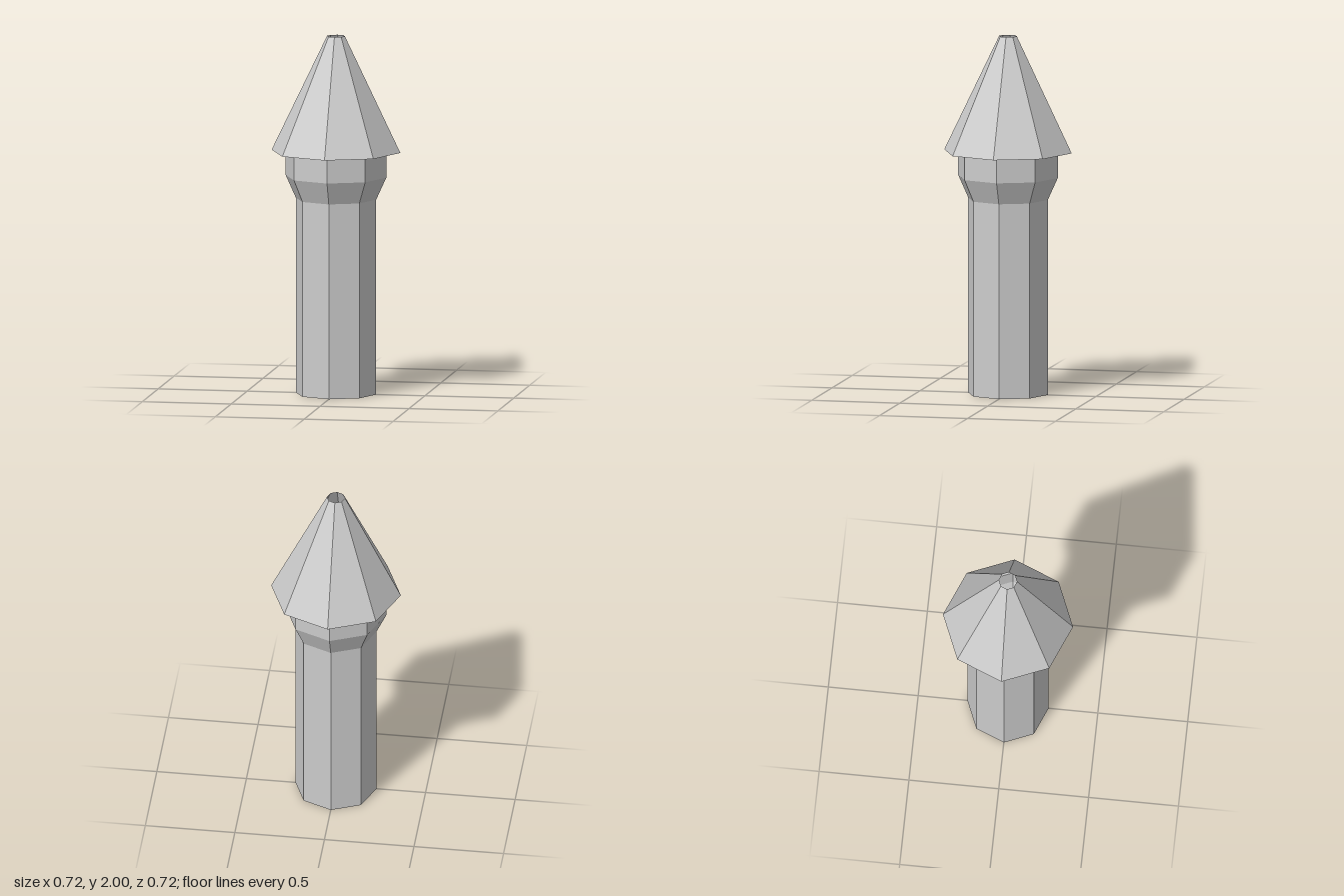
import * as THREE from 'three';

const SIDES = 8;

// Open eight-sided shell swept from [radius, height] pairs, bottom to top
function shell(name, profile, material) {
  const points = profile.map(([r, y]) => new THREE.Vector2(r, y));
  const mesh = new THREE.Mesh(new THREE.LatheGeometry(points, SIDES), material);
  mesh.name = name;
  return mesh;
}

export function createModel() {
  const group = new THREE.Group();
  group.name = 'tower';
  const material = new THREE.MeshStandardMaterial({
    color: 0xcccccc, flatShading: true, side: THREE.DoubleSide,
  });

  const shaftR = 0.226, collarR = 0.283, eaveR = 0.362, tipR = 0.05;
  const shaftTop = 1.09, flareTop = 1.215, eaveY = 1.355;

  group.add(
    // Hollow shaft, open at the bottom
    shell('shaft', [[shaftR, 0], [shaftR, shaftTop]], material),
    // Flared collar below the roof
    shell('collar', [[shaftR, shaftTop], [collarR, flareTop], [collarR, eaveY]], material),
    // Flat underside of the overhang
    shell('eave', [[collarR, eaveY], [eaveR, eaveY]], material),
    // Pointed roof with an open tip
    shell('roof', [[eaveR, eaveY], [tipR, 2]], material),
  );
  return group;
}
